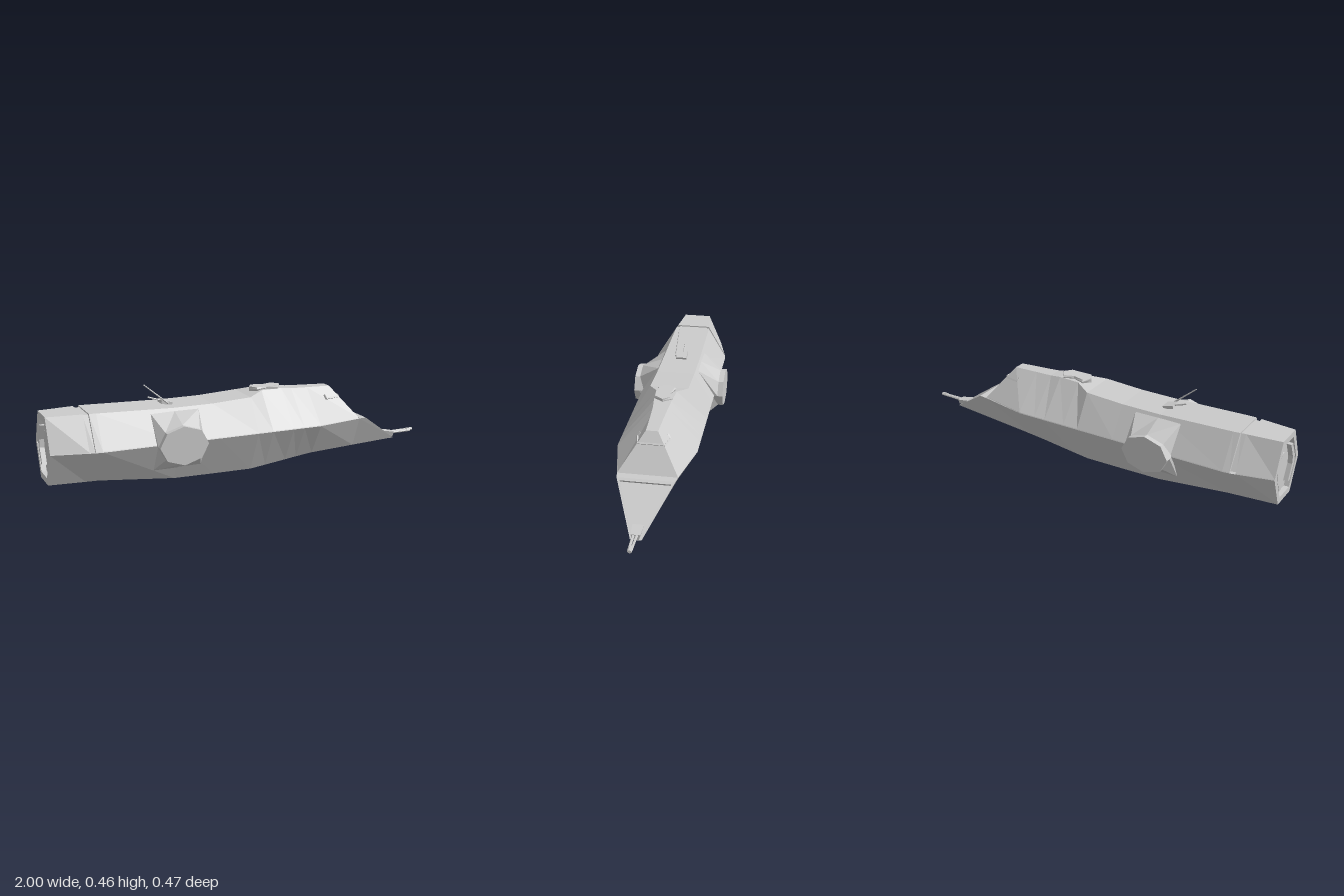
import * as THREE from 'three';

const grey = new THREE.MeshStandardMaterial({ color: 0xcccccc, flatShading: true, side: THREE.DoubleSide });

// Skin a list of equal-length point loops; optionally close both ends with fans.
function loft(loops, capStart, capEnd) {
  const pos = [];
  const A = new THREE.Vector3(), B = new THREE.Vector3(), C = new THREE.Vector3();
  const tri = (a, b, c) => {
    A.set(...a); B.set(...b).sub(A); C.set(...c).sub(A);
    if (B.cross(C).length() > 1e-8) pos.push(...a, ...b, ...c);
  };
  for (let i = 0; i < loops.length - 1; i++) {
    const p = loops[i], q = loops[i + 1];
    for (let j = 0; j < p.length; j++) {
      const k = (j + 1) % p.length;
      tri(p[j], p[k], q[k]);
      tri(p[j], q[k], q[j]);
    }
  }
  const first = loops[0], last = loops[loops.length - 1];
  for (let j = 1; j < first.length - 1; j++) {
    if (capStart) tri(first[0], first[j + 1], first[j]);
    if (capEnd) tri(last[0], last[j], last[j + 1]);
  }
  const geo = new THREE.BufferGeometry();
  geo.setAttribute('position', new THREE.Float32BufferAttribute(pos, 3));
  geo.computeVertexNormals();
  return geo;
}

// Mirror a half outline (top to bottom on +z) into a full loop.
const mirror = half => [...half, ...half.map(([x, y, z]) => [x, y, -z]).reverse()];

// Hull station: shoulder, groove edge just above the waist, waist, keel.
function station(x, yTop, zTop, zMid, yBot, zBot, groove = 0) {
  return mirror([
    [x, yTop - groove * 0.5, zTop - groove],
    [x, 0.209, zMid - 0.002 - groove],
    [x, 0.205, zMid],
    [x, yBot, zBot],
  ]);
}

function add(parent, name, geo) {
  const mesh = new THREE.Mesh(geo, grey);
  mesh.name = name;
  parent.add(mesh);
  return mesh;
}

// Straight bar between two points, round or square depending on sides.
function bar(parent, name, from, to, r, sides = 6, rEnd = r) {
  const a = new THREE.Vector3(...from), b = new THREE.Vector3(...to);
  const mesh = add(parent, name, new THREE.CylinderGeometry(rEnd, r, a.distanceTo(b), sides));
  mesh.position.copy(a).add(b).multiplyScalar(0.5);
  mesh.quaternion.setFromUnitVectors(new THREE.Vector3(0, 1, 0), b.sub(a).normalize());
  return mesh;
}

function buildHull() {
  // Sloped bow panel, framed and slightly sunken
  const slope = (xT, yT, zT, xB, yB, zB) =>
    mirror([[xT, yT, zT], [xT, yT, zT], [xT, yT, zT], [xB, yB, zB]]);
  return loft([
    // recessed stern plate and its rim
    station(-0.975, 0.335, 0.055, 0.115, 0.075, 0.055),
    station(-1, 0.335, 0.055, 0.115, 0.075, 0.055),
    station(-1, 0.365, 0.07, 0.14, 0.045, 0.07),
    // groove round the upper stern
    station(-0.83, 0.365, 0.087, 0.18, 0.045, 0.087),
    station(-0.83, 0.365, 0.087, 0.18, 0.045, 0.087, 0.012),
    station(-0.803, 0.365, 0.09, 0.186, 0.045, 0.09, 0.012),
    station(-0.803, 0.365, 0.09, 0.186, 0.045, 0.09),
    station(-0.77, 0.364, 0.092, 0.19, 0.045, 0.093),
    // main body
    station(-0.4, 0.353, 0.095, 0.19, 0.008, 0.095),
    station(-0.2, 0.354, 0.095, 0.19, 0.005, 0.095),
    station(0, 0.365, 0.095, 0.19, 0.003, 0.095),
    // dorsal hump and ridge
    station(0.08, 0.382, 0.05, 0.19, 0.013, 0.095),
    station(0.19, 0.382, 0.042, 0.19, 0.027, 0.095),
    station(0.25, 0.374, 0.036, 0.19, 0.035, 0.095),
    station(0.34, 0.37, 0.032, 0.19, 0.045, 0.095),
    // bow face, ledge and nose
    mirror([[0.47, 0.365, 0.028], [0.587, 0.209, 0.134], [0.59, 0.205, 0.138], [0.6, 0.045, 0.06]]),
    mirror([[0.59, 0.205, 0.138], [0.59, 0.205, 0.138], [0.59, 0.205, 0.138], [0.6, 0.045, 0.06]]),
    slope(0.63, 0.205, 0.132, 0.87, 0.045, 0.025),
    slope(0.642, 0.197, 0.116, 0.862, 0.05, 0.021),
    slope(0.635, 0.187, 0.116, 0.855, 0.04, 0.021),
  ], true, true);
}

// Octagonal side pod flaring back to a square root on the hull
function buildPod() {
  const ring = fn => Array.from({ length: 8 }, (_, i) => {
    const a = i * Math.PI / 4;
    return fn(Math.cos(a), Math.sin(a));
  });
  const octagon = z => ring((c, s) => [c * 0.12, s * 0.093, z]);
  const root = ring((c, s) => {
    const up = Math.round(s);
    return [Math.round(c) * 0.12, up * 0.136, up === 0 ? 0.18 : up > 0 ? 0.104 : 0.12];
  });
  return loft([root, octagon(0.207), octagon(0.233)], false, true);
}

export function createModel() {
  const model = new THREE.Group();
  model.name = 'airship';
  add(model, 'hull', buildHull());

  // Side pods
  const podGeo = buildPod();
  for (const side of [1, -1]) {
    const pod = add(model, side > 0 ? 'leftPod' : 'rightPod', podGeo);
    pod.position.set(-0.395, 0.203, 0);
    if (side < 0) pod.rotation.y = Math.PI;
  }

  // Faceted cupola on the hump, wider above than below
  const deck = (y, w) => [[0.06, y, w], [0.12, y, w * 0.55], [0.17, y, w],
    [0.2, y, 0], [0.17, y, -w], [0.12, y, -w * 0.55], [0.06, y, -w], [0.035, y, 0]];
  add(model, 'cupola', loft([deck(0.37, 0.034), deck(0.387, 0.045), deck(0.396, 0.038)], true, true));

  // Stern thruster slots, bent to follow the end plate
  for (const s of [1, -1]) {
    const slot = new THREE.Shape([[0.04, 0.3], [0.062, 0.3], [0.1, 0.225], [0.1, 0.185], [0.062, 0.11],
      [0.04, 0.11], [0.076, 0.185], [0.076, 0.225]].map(([z, y]) => new THREE.Vector2(z * s, y)));
    const geo = new THREE.ExtrudeGeometry(slot, { depth: 0.03, bevelEnabled: false });
    geo.rotateY(-Math.PI / 2);
    add(model, 'thrusterSlot', geo).position.x = -0.968;
  }

  // Visor strips round the bow face
  bar(model, 'visorFront', [0.507, 0.318, -0.058], [0.507, 0.318, 0.058], 0.006, 4);
  for (const s of [1, -1]) {
    bar(model, 'visorSide', [0.507, 0.312, 0.061 * s], [0.43, 0.312, 0.076 * s], 0.006, 4);
    bar(model, 'visorHook', [0.43, 0.31, 0.077 * s], [0.424, 0.33, 0.064 * s], 0.006, 4);
  }

  // Deck turret with a long and a short barrel
  const turret = new THREE.Group();
  turret.name = 'deckTurret';
  model.add(turret);
  const base = add(turret, 'turretBase', new THREE.BoxGeometry(0.055, 0.016, 0.054));
  base.position.set(-0.405, 0.362, 0);
  base.rotation.z = -0.25;
  bar(turret, 'longBarrel', [-0.4, 0.36, 0.031], [-0.52, 0.461, 0.031], 0.005, 6, 0.003);
  bar(turret, 'shortBarrel', [-0.4, 0.362, -0.005], [-0.49, 0.392, -0.005], 0.004);

  // Nose gun mount and barrels
  const mount = w => [[0.81, 0.086, w], [0.81, 0.05, w * 0.65], [0.81, 0.05, -w * 0.65], [0.81, 0.086, -w]];
  const mountEnd = mount(0.022).map(([, y, z]) => [0.875, 0.05 + (y - 0.05) * 0.7, z]);
  add(model, 'gunMount', loft([mount(0.026), mountEnd], true, true));
  bar(model, 'gunBarrel', [0.84, 0.068, 0.011], [0.985, 0.068, 0.008], 0.006);
  bar(model, 'gunBarrel', [0.84, 0.07, -0.006], [1, 0.072, -0.004], 0.006);
  bar(model, 'gunMuzzle', [0.965, 0.073, 0.002], [1, 0.073, 0.002], 0.008);
  return model;
}
